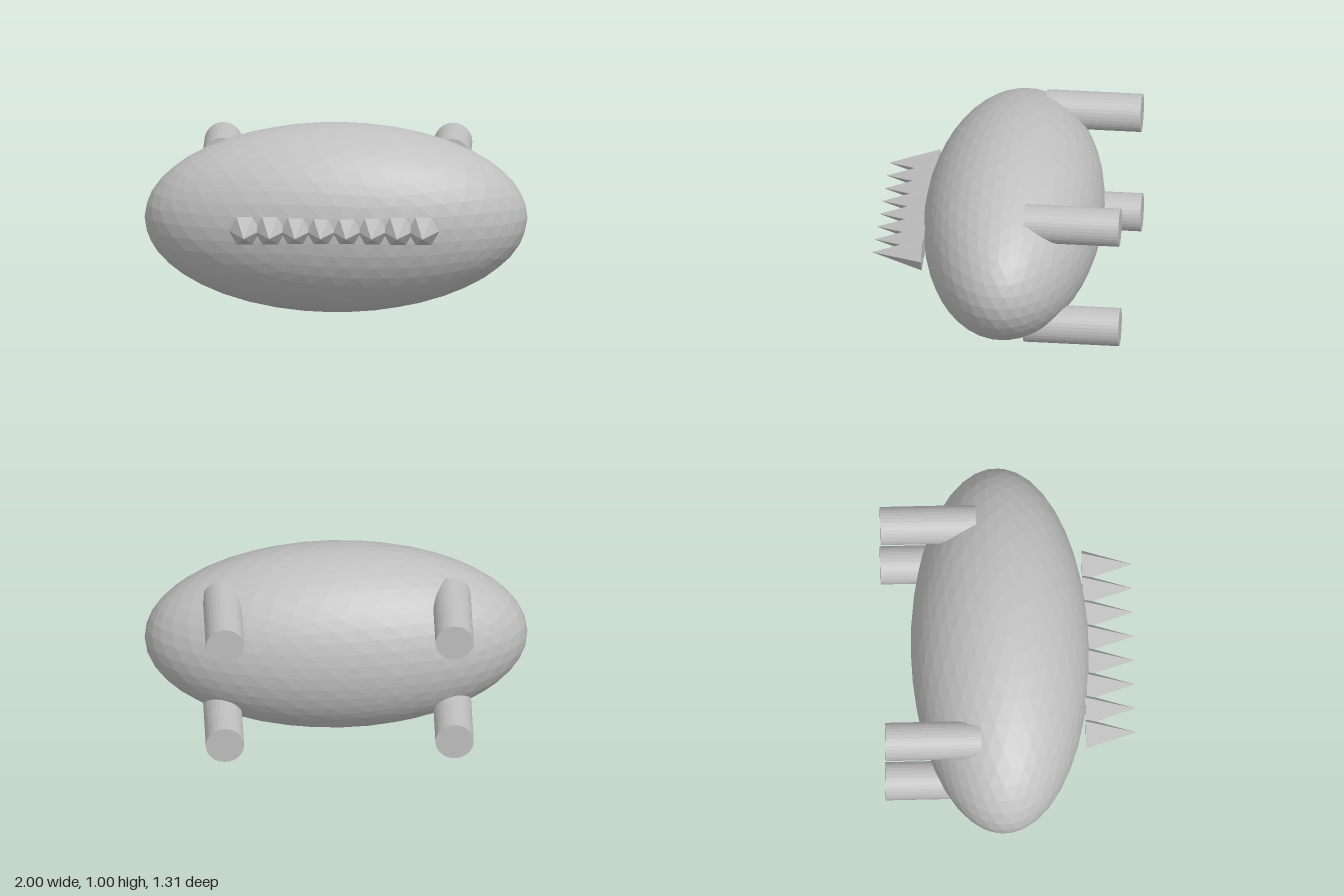
import * as THREE from 'three';

export function createModel() {
  const model = new THREE.Group();
  const grey = new THREE.MeshStandardMaterial({ color: 0xc0c0c0, flatShading: true });
  grey.name = 'grey';

  const add = (name, geometry, x, y, z) => {
    const mesh = new THREE.Mesh(geometry, grey);
    mesh.name = name;
    mesh.position.set(x, y, z);
    model.add(mesh);
  };

  // Faceted ellipsoid body, with one icosahedron corner turned to the top
  const body = new THREE.IcosahedronGeometry(1, 7);
  body.rotateZ(-Math.atan(2 / (1 + Math.sqrt(5))));
  body.scale(1, 0.498, 0.466);
  add('body', body, 0, 0.502, -0.044);

  // Four pegs sticking out of the back
  const peg = new THREE.CylinderGeometry(0.1, 0.1, 0.5, 32).rotateX(Math.PI / 2);
  for (const [side, x] of [['Left', 0.6], ['Right', -0.6]]) {
    add('upper' + side + 'Leg', peg, x, 0.8, -0.407);
    add('lower' + side + 'Leg', peg, x, 0.2, -0.407);
  }

  // Row of eight six-sided spikes across the front, corners pointing sideways
  const spike = new THREE.ConeGeometry(0.083, 0.264, 6);
  spike.rotateY(Math.PI / 6).rotateX(Math.PI / 2);
  for (let i = 0; i < 8; i++) {
    add('spike' + (i + 1), spike, -0.469 + i * 0.1335, 0.502, 0.525);
  }

  return model;
}
